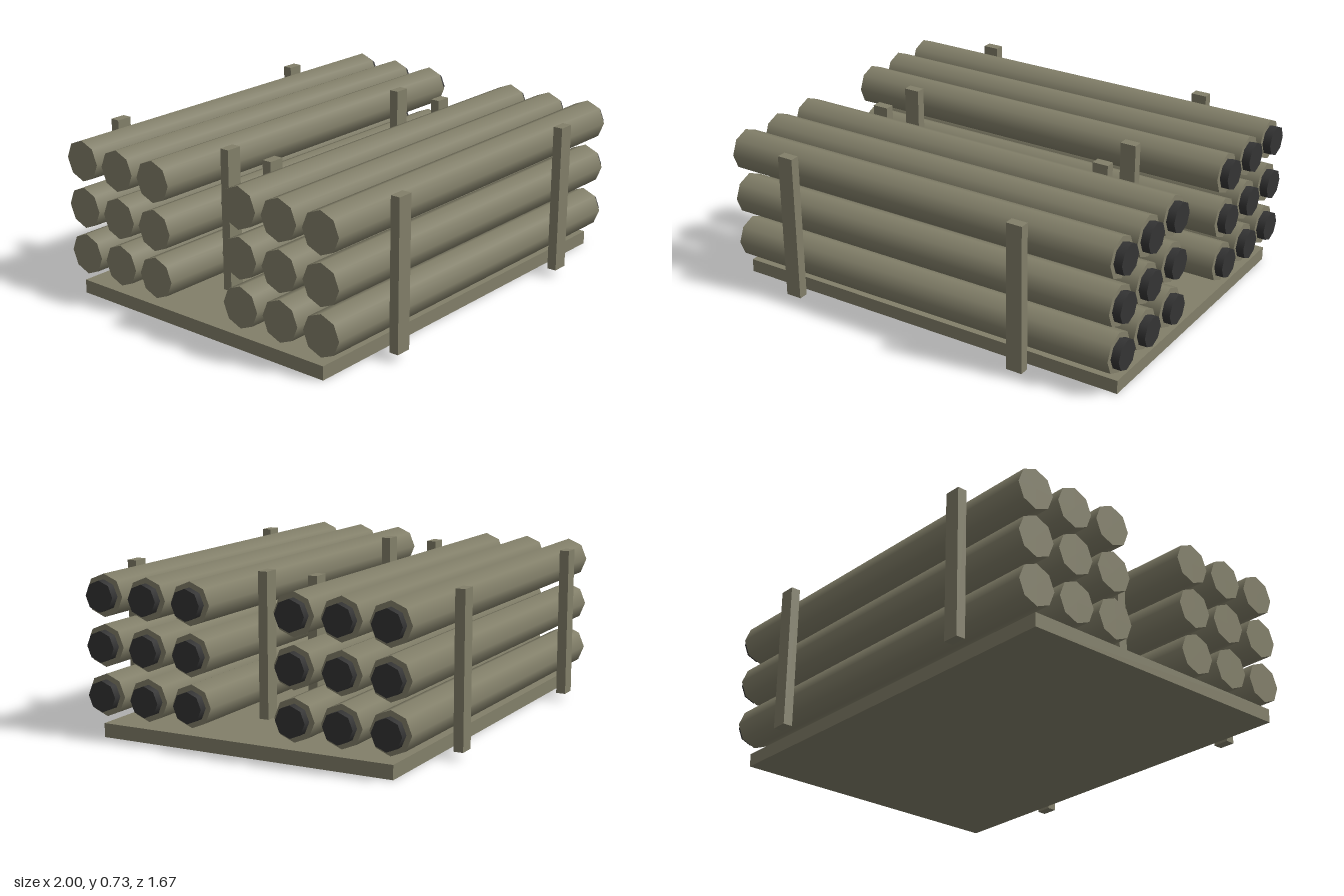
import * as THREE from 'three';

export function createModel() {
  const group = new THREE.Group();
  const olive = new THREE.MeshStandardMaterial({ name: 'olive drab', color: 0x827f69 });
  const dark = new THREE.MeshStandardMaterial({ name: 'dark grey', color: 0x343434 });

  function add(name, geometry, material, x, y, z) {
    const mesh = new THREE.Mesh(geometry, material);
    mesh.name = name;
    mesh.position.set(x, y, z);
    group.add(mesh);
  }

  // Eight-sided cylinder lying along x
  const lying = (radius, length) =>
    new THREE.CylinderGeometry(radius, radius, length, 8).rotateZ(-Math.PI / 2);

  // Pallet
  add('pallet', new THREE.BoxGeometry(1.966, 0.063, 1.41), olive, -0.016, 0.0315, 0);

  // Two stacks of three by three tubes, each with a dark end cap
  const tube = lying(0.095, 1.955);
  const cap = lying(0.07, 0.07);
  const post = new THREE.BoxGeometry(0.076, 0.688, 0.045);
  for (const side of [-1, 1]) {
    for (const y of [0.19, 0.41, 0.63]) {
      for (const z of [0.25, 0.47, 0.69]) {
        add('tube', tube, olive, -0.0155, y, side * z);
        add('endCap', cap, dark, 0.965, y, side * z);
      }
    }
    // Upright posts on both sides of the stack
    for (const x of [-0.642, 0.545]) {
      add('innerPost', post, olive, x, 0.379, side * 0.124);
      add('outerPost', post, olive, x, 0.379, side * 0.814);
    }
  }
  return group;
}
